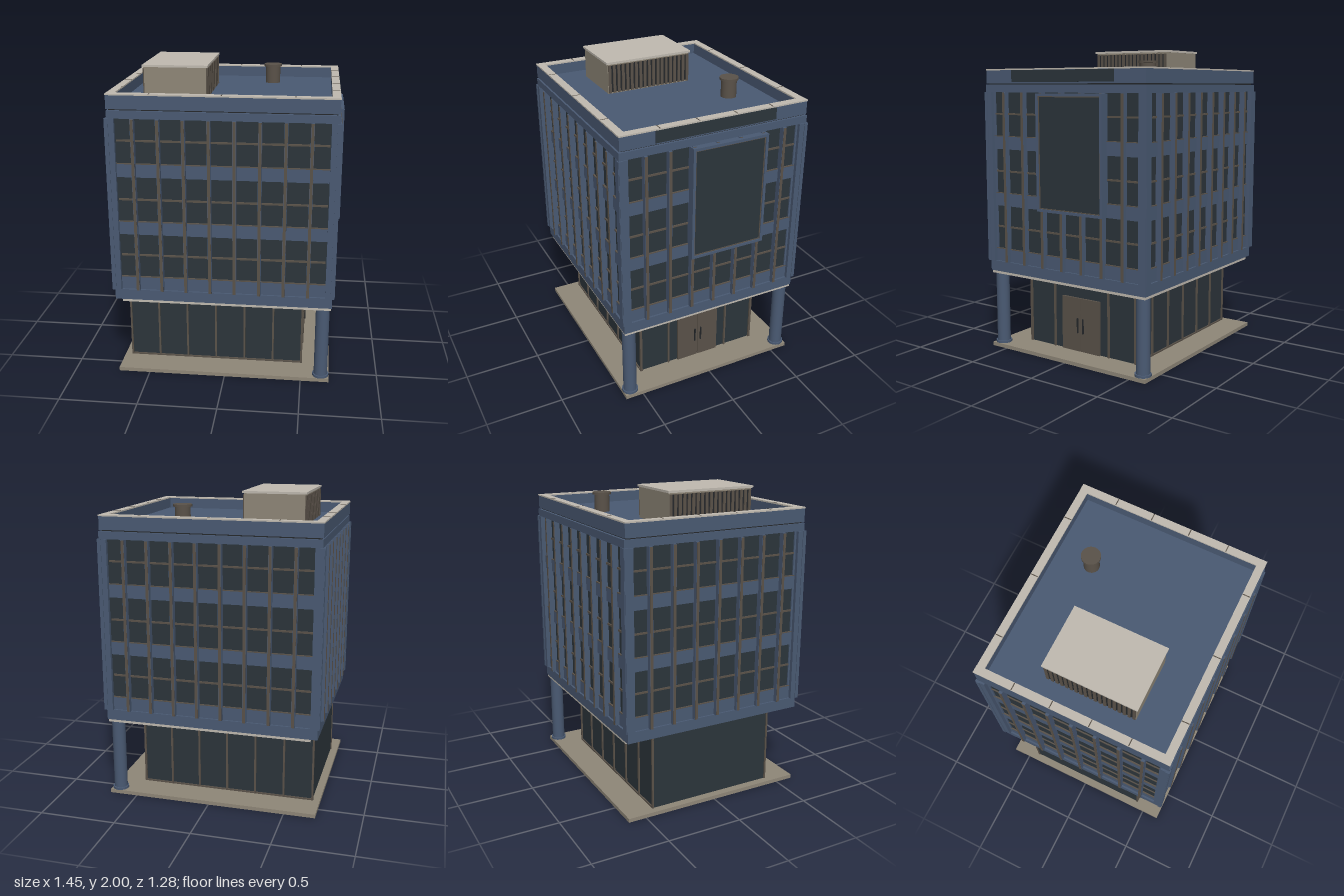
import * as THREE from 'three';

const mat = (name, color) => {
  const m = new THREE.MeshStandardMaterial({ color });
  m.name = name;
  return m;
};

export function createModel() {
  const blue = mat('blue cladding', 0x4a5a73);
  const glass = mat('dark glass', 0x2c353b);
  const bronze = mat('bronze metal', 0x5a5249);
  const taupe = mat('taupe stone', 0x8f8778);
  const pale = mat('pale coping', 0xc0bab0);
  const black = mat('dark fittings', 0x25282b);

  const model = new THREE.Group();
  model.name = 'officeBuilding';

  // box given by its min and max on each axis
  const box = (name, m, x0, x1, y0, y1, z0, z1, parent = model) => {
    const mesh = new THREE.Mesh(new THREE.BoxGeometry(x1 - x0, y1 - y0, z1 - z0), m);
    mesh.position.set((x0 + x1) / 2, (y0 + y1) / 2, (z0 + z1) / 2);
    mesh.name = name;
    parent.add(mesh);
    return mesh;
  };
  const cyl = (name, m, r, x, y0, y1, z, seg = 24) => {
    const mesh = new THREE.Mesh(new THREE.CylinderGeometry(r, r, y1 - y0, seg), m);
    mesh.position.set(x, (y0 + y1) / 2, z);
    mesh.name = name;
    model.add(mesh);
  };

  const cx = -0.01; // centre line of the tower

  // plinth and ground floor lobby
  box('plinth', taupe, -0.705, 0.685, 0, 0.025, -0.62, 0.62);
  box('lobbyGlass', glass, -0.655, 0.495, 0.025, 0.51, -0.425, 0.425);
  for (const s of [-1, 1]) {
    for (let i = 0; i < 7; i++) {
      const x = -0.655 + i * 0.1925;
      box('lobbyMullion', bronze, x - 0.006, x + 0.006, 0.025, 0.51, s * 0.429 - 0.006, s * 0.429 + 0.006);
    }
    box('lobbyTopRail', bronze, -0.66, 0.5, 0.497, 0.51, s * 0.428 - 0.006, s * 0.428 + 0.006);
    box('lobbyBottomRail', bronze, -0.66, 0.5, 0.025, 0.035, s * 0.428 - 0.006, s * 0.428 + 0.006);
  }
  for (const z of [-0.425, -0.22, 0.22, 0.425])
    box('entranceMullion', bronze, 0.493, 0.506, 0.025, 0.51, z - 0.006, z + 0.006);
  box('entranceTopRail', bronze, 0.493, 0.505, 0.497, 0.51, -0.43, 0.43);

  // double entrance door
  for (const s of [-1, 1]) {
    box('doorLeaf', bronze, 0.49, 0.509, 0.025, 0.385, Math.min(s * 0.002, s * 0.152), Math.max(s * 0.002, s * 0.152));
    box('doorHandle', black, 0.509, 0.517, 0.15, 0.25, s * 0.022 - 0.004, s * 0.022 + 0.004);
  }

  // corner columns under the overhang
  for (const z of [-0.57, 0.57]) {
    cyl('column', blue, 0.044, 0.63, 0.025, 0.53, z);
    cyl('columnBase', blue, 0.053, 0.63, 0.025, 0.04, z);
  }

  // soffit with downlights, and the floor band above
  box('soffit', pale, -0.66, 0.68, 0.512, 0.532, -0.615, 0.615);
  for (const z of [-0.45, -0.15, 0.15, 0.45]) cyl('downlight', black, 0.013, 0.59, 0.506, 0.513, z, 12);
  box('lowerBand', blue, -0.705, 0.685, 0.53, 0.6, -0.62, 0.62);

  // glazed tower core
  box('towerGlass', glass, cx - 0.673, cx + 0.673, 0.6, 1.72, -0.597, 0.597);

  // one facade, facing +z locally: spandrels, transoms and vertical fins
  const facade = (name, half, dist, fins, angle, piers) => {
    const g = new THREE.Group();
    g.name = name;
    g.position.x = cx;
    g.rotation.y = angle;
    for (const y of [0.6, 0.975, 1.35]) {
      box('spandrel', blue, -half + 0.02, half - 0.02, y, y + 0.083, dist - 0.04, dist - 0.012, g);
      box('sill', bronze, -half + 0.03, half - 0.03, y + 0.083, y + 0.088, dist - 0.04, dist - 0.012, g);
    }
    for (const y of [0.835, 1.205, 1.58])
      box('transom', bronze, -half + 0.05, half - 0.05, y - 0.006, y + 0.006, dist - 0.04, dist - 0.015, g);
    for (let i = 0; i < fins; i++) {
      const u = -half + (2 * half * i) / (fins - 1);
      const corner = i === 0 || i === fins - 1;
      box('fin', blue, u - 0.011, u + 0.011, 0.6, 1.72, dist - 0.045, dist + 0.015, g);
      if (!corner) box('finCap', bronze, u - 0.009, u + 0.009, 0.602, 1.718, dist + 0.013, dist + 0.018, g);
    }
    if (piers)
      for (const s of [-1, 1]) {
        const u = s * (half - 0.033);
        box('cornerPier', blue, u - 0.023, u + 0.023, 0.6, 1.72, dist - 0.04, dist - 0.014, g);
      }
    model.add(g);
  };
  facade('frontFacade', 0.695, 0.62, 10, 0, false);
  facade('backFacade', 0.695, 0.62, 10, Math.PI, false);
  facade('leftFacade', 0.62, 0.695, 9, Math.PI / 2, true);
  facade('rightFacade', 0.62, 0.695, 9, -Math.PI / 2, true);

  // large framed display window on the entrance side
  box('displayGlass', glass, 0.66, 0.714, 0.985, 1.705, -0.325, 0.165);
  for (const [z0, z1] of [[-0.335, -0.318], [0.158, 0.175]])
    box('displayFrameSide', blue, 0.66, 0.724, 0.975, 1.715, z0, z1);
  for (const [y0, y1] of [[0.975, 0.992], [1.698, 1.715]])
    box('displayFrameRail', blue, 0.66, 0.724, y0, y1, -0.318, 0.158);
  for (const z of [-0.315, 0.155]) box('displayBead', bronze, 0.71, 0.718, 0.992, 1.698, z - 0.003, z + 0.003);
  for (const y of [0.995, 1.695]) box('displayBead', bronze, 0.71, 0.718, y - 0.003, y + 0.003, -0.318, 0.158);

  // cornice, shadow gap and roof deck
  box('cornice', blue, -0.705, 0.69, 1.72, 1.768, -0.627, 0.627);
  box('shadowGap', black, -0.695, 0.675, 1.768, 1.776, -0.61, 0.61);
  box('roofDeck', blue, -0.69, 0.67, 1.776, 1.79, -0.6, 0.6);

  // parapet walls with pale coping and joints
  for (const s of [-1, 1]) {
    const xs = [cx + s * 0.65, cx + s * 0.697].sort((a, b) => a - b);
    const zs = [s * 0.575, s * 0.622].sort((a, b) => a - b);
    box('parapetSide', blue, xs[0], xs[1], 1.776, 1.86, -0.622, 0.622);
    box('copingSide', pale, xs[0] - 0.002, xs[1] + 0.002, 1.86, 1.869, -0.625, 0.625);
    box('parapetEnd', blue, -0.66, 0.64, 1.776, 1.86, zs[0], zs[1]);
    box('copingEnd', pale, -0.658, 0.638, 1.86, 1.869, zs[0] - 0.002, zs[1] + 0.002);
    for (const z of [-0.375, -0.13, 0.12, 0.37])
      box('copingJoint', bronze, xs[0], xs[1], 1.866, 1.87, z - 0.003, z + 0.003);
    for (const x of [-0.445, -0.01, 0.425])
      box('copingJoint', bronze, x - 0.003, x + 0.003, 1.866, 1.87, zs[0], zs[1]);
  }
  box('fasciaPanel', glass, 0.68, 0.692, 1.785, 1.859, -0.4, 0.4);

  // rooftop plant room with louvred sides
  box('plantRoom', taupe, -0.53, -0.14, 1.79, 1.986, -0.248, 0.333);
  box('plantRoomRoof', pale, -0.54, -0.13, 1.986, 2, -0.256, 0.342);
  for (const [x, s] of [[-0.53, -1], [-0.14, 1]]) {
    box('louvreRecess', black, x - 0.002, x + 0.002, 1.8, 1.975, -0.24, 0.325);
    for (let i = 0; i < 19; i++) {
      const z = -0.236 + i * 0.0309;
      box('louvreSlat', bronze, x + s * 0.003 - 0.005, x + s * 0.003 + 0.005, 1.795, 1.977, z - 0.009, z + 0.009);
    }
  }

  // roof vent
  cyl('ventStem', bronze, 0.05, 0.235, 1.79, 1.905, -0.34);
  cyl('ventCap', bronze, 0.061, 0.235, 1.903, 1.918, -0.34);

  return model;
}
